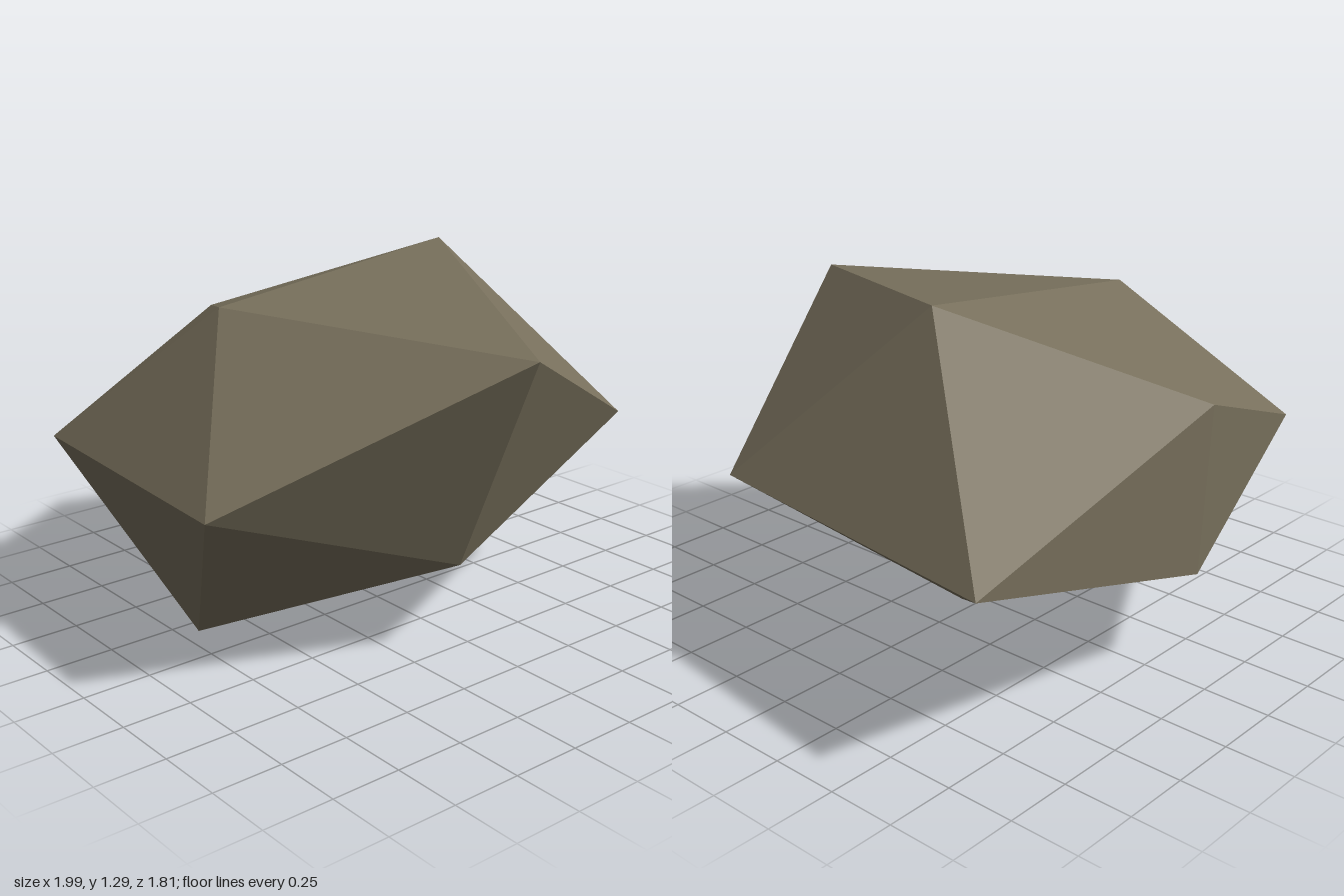
import * as THREE from 'three';
import { mergeVertices } from 'three/addons/utils/BufferGeometryUtils.js';

// Corner distances from the rock's core, in the order the icosahedron's
// corners first appear in its faces.
const REACH = [0.556, 0.668, 0.45, 0.554, 0.451, 0.516, 0.587, 0.457, 0.583, 0.433, 0.676, 0.42];
const CORE = new THREE.Vector3(-0.1, 0.66, -0.18);
const SQUASH = 0.7;

// Icosahedron with each corner pushed in or out, then flattened
function rockGeometry() {
  const source = new THREE.IcosahedronGeometry(1, 0);
  source.deleteAttribute('normal');
  source.deleteAttribute('uv');
  const shell = mergeVertices(source);
  const position = shell.attributes.position;
  const unit = Math.hypot(1, (1 + Math.sqrt(5)) / 2);
  const corner = new THREE.Vector3();
  for (let i = 0; i < position.count; i++) {
    corner.fromBufferAttribute(position, i).multiplyScalar(unit * REACH[i]);
    corner.y *= SQUASH;
    corner.add(CORE);
    position.setXYZ(i, corner.x, corner.y, corner.z);
  }
  const faceted = shell.toNonIndexed();
  faceted.computeVertexNormals();
  return faceted;
}

export function createModel() {
  const stone = new THREE.MeshStandardMaterial({ color: 0x78705c });
  stone.name = 'stone';
  stone.flatShading = true;

  const rock = new THREE.Mesh(rockGeometry(), stone);
  rock.name = 'rock';

  const model = new THREE.Group();
  model.name = 'boulder';
  model.add(rock);
  return model;
}
